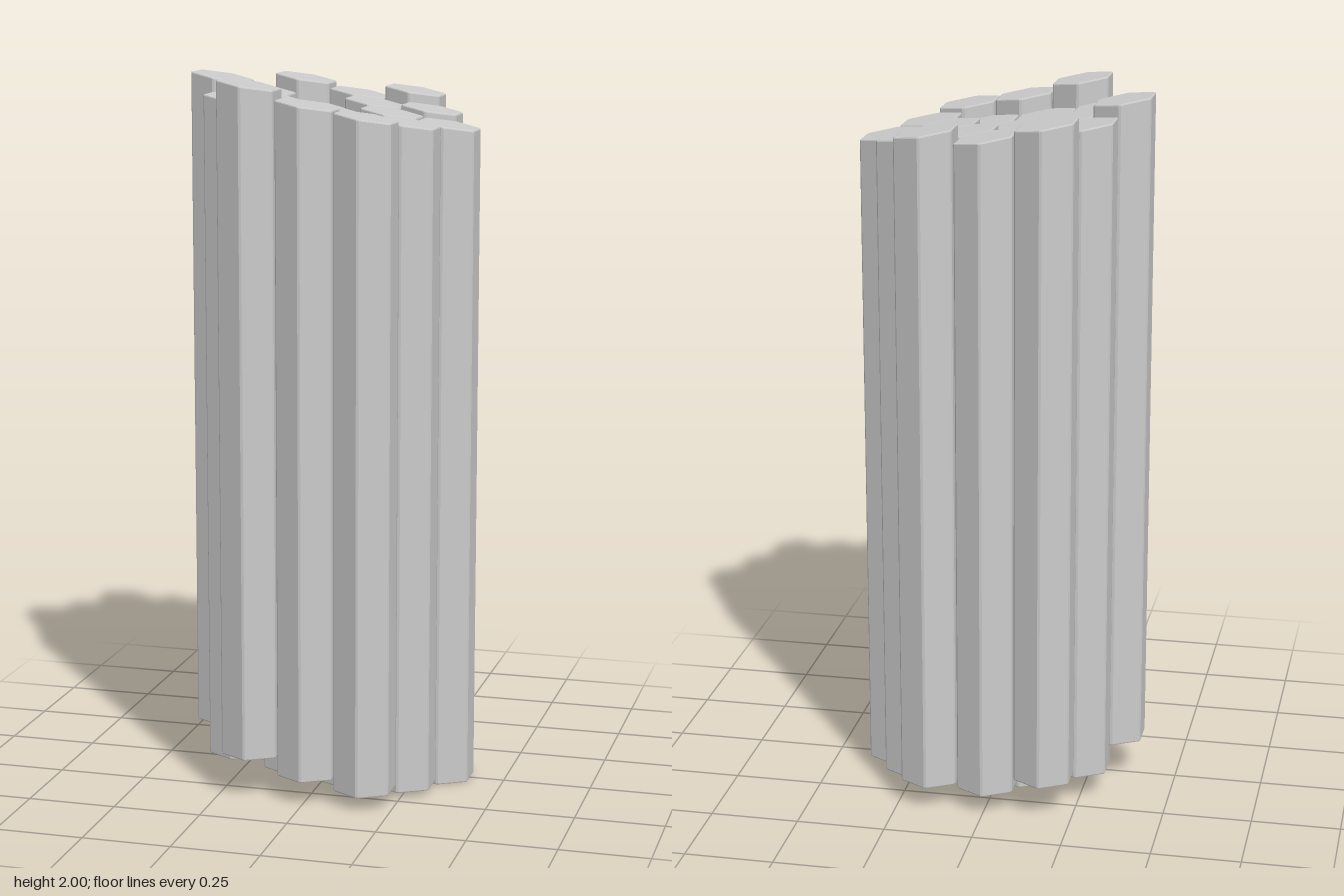
import * as THREE from 'three';

const APOTHEM = 0.0785;   // half the width across flats
const PITCH = 0.162;      // spacing between column axes
const LENGTH = 1.88;      // height of a column at its tall edge
const SLOPE = 0.165;      // fall of the slanted top toward +x
const BEVEL = 0.004;

// Hexagon with points toward +z and -z and slightly clipped corners
function hexShape(apothem, clip) {
  const r = apothem / Math.cos(Math.PI / 6);
  const corner = (i) => new THREE.Vector2(0, r).rotateAround(new THREE.Vector2(), i * Math.PI / 3);
  const points = [];
  for (let i = 0; i < 6; i++) {
    const c = corner(i);
    points.push(c.clone().lerp(corner(i - 1), clip / r), c.clone().lerp(corner(i + 1), clip / r));
  }
  return new THREE.Shape(points);
}

// Bevelled hexagonal prism with a flat foot and a slanted top
function columnGeometry() {
  const geometry = new THREE.ExtrudeGeometry(hexShape(APOTHEM - BEVEL, 0.003), {
    depth: LENGTH - 2 * BEVEL, bevelEnabled: true,
    bevelSize: BEVEL, bevelThickness: BEVEL, bevelSegments: 2,
  });
  geometry.rotateX(-Math.PI / 2).translate(0, BEVEL, 0);
  const p = geometry.attributes.position;
  for (let i = 0; i < p.count; i++) {
    if (p.getY(i) > LENGTH / 2) p.setY(i, p.getY(i) - SLOPE * (p.getX(i) + APOTHEM));
  }
  geometry.computeVertexNormals();
  return geometry;
}

export function createModel() {
  const group = new THREE.Group();
  group.name = 'columnCluster';
  const material = new THREE.MeshStandardMaterial({ color: 0xcccccc, flatShading: true });
  const geometry = columnGeometry();

  // Lift of each column above the ground, rows from back to front, -x to +x
  const rows = [
    [0.10, 0.06, 0.07],
    [0.075, 0.03, 0.045, 0.03],
    [0.12, 0.06, 0.03, 0.03, 0],
    [0.07, 0.04, 0.015, 0.015],
    [0.12, 0.07, 0.04],
  ];
  rows.forEach((lifts, row) => {
    lifts.forEach((lift, i) => {
      const column = new THREE.Mesh(geometry, material);
      column.name = `hexColumn_${row + 1}_${i + 1}`;
      column.position.set(
        (i - (lifts.length - 1) / 2) * PITCH, lift,
        (row - 2) * PITCH * Math.sqrt(3) / 2);
      group.add(column);
    });
  });
  return group;
}
